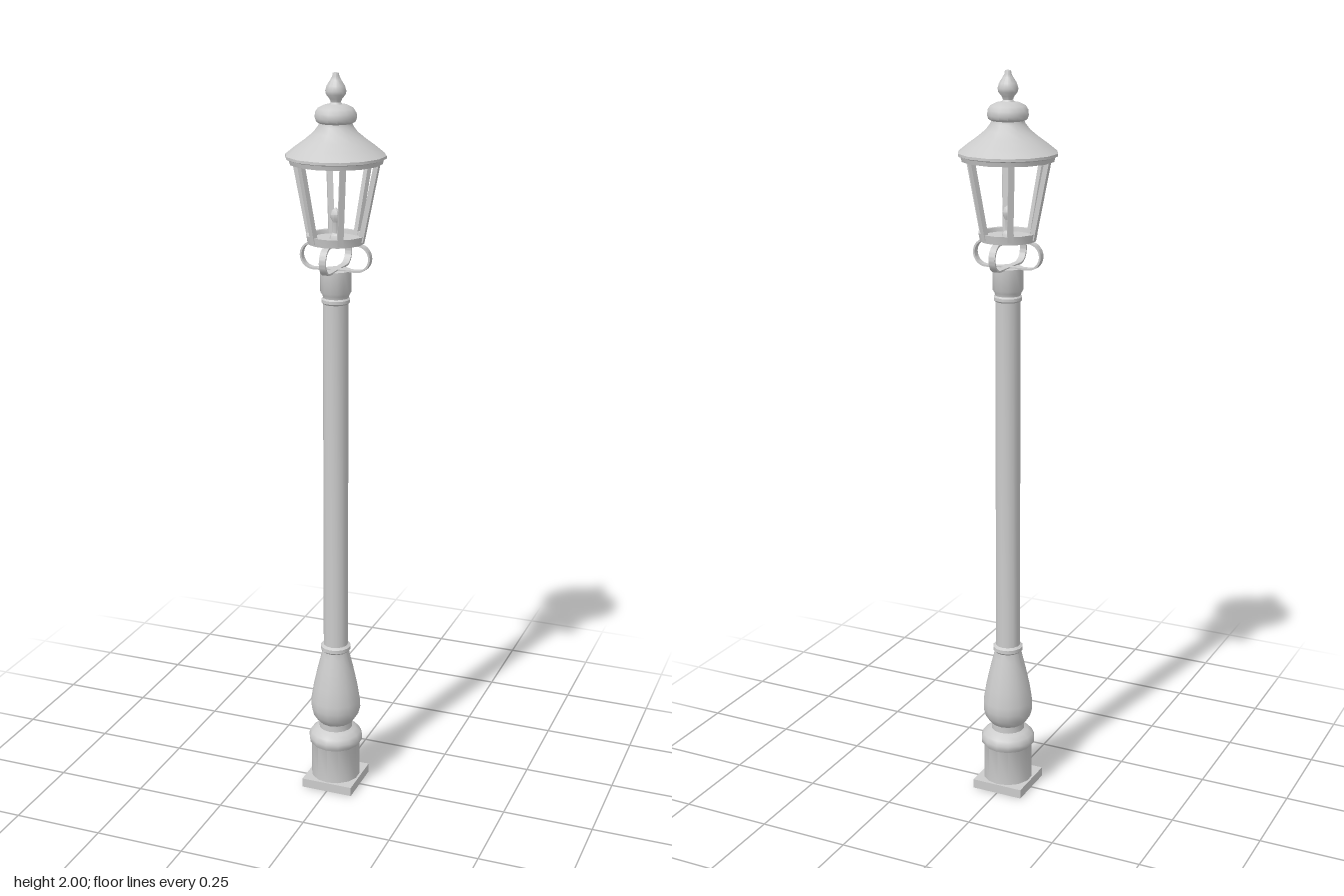
import * as THREE from 'three';
import { toCreasedNormals } from 'three/addons/utils/BufferGeometryUtils.js';

const grey = new THREE.MeshStandardMaterial({ color: 0xcccccc, side: THREE.DoubleSide });

export function createModel() {
  const model = new THREE.Group();

  const add = (name, geometry, parent = model) => {
    const mesh = new THREE.Mesh(geometry, grey);
    mesh.name = name;
    parent.add(mesh);
    return mesh;
  };

  // Turned part from [radius, height] pairs listed bottom to top
  const turned = (name, profile, sides = 14) => {
    const points = profile.map(([r, y]) => new THREE.Vector2(r, y));
    return add(name, toCreasedNormals(new THREE.LatheGeometry(points, sides), 0.7));
  };

  // Square foot plate
  add('footPlate', new THREE.BoxGeometry(0.147, 0.026, 0.147)).position.y = 0.013;

  // Drum, rounded shoulder and vase-shaped lower post
  turned('pedestal', [
    [0.069, 0.026], [0.069, 0.127], [0.075, 0.135], [0.076, 0.148], [0.07, 0.161],
    [0.057, 0.171], [0.047, 0.176], [0.047, 0.194], [0.053, 0.2], [0.064, 0.217],
    [0.07, 0.24], [0.069, 0.262], [0.062, 0.305], [0.051, 0.355], [0.041, 0.395],
    [0.037, 0.412], [0.042, 0.417], [0.042, 0.427], [0.034, 0.432],
  ]);

  // Long shaft
  turned('shaft', [[0.034, 0.425], [0.034, 1.415]]);

  // Collar at the top of the shaft
  turned('collar', [
    [0.034, 1.408], [0.038, 1.412], [0.038, 1.42], [0.034, 1.424], [0.036, 1.432],
    [0.041, 1.44], [0.041, 1.497], [0, 1.497],
  ]);

  // Four flat C-shaped straps carrying the lantern
  const strap = new THREE.Shape();
  strap.moveTo(0, 1.495);
  strap.lineTo(0.06, 1.495);
  strap.absarc(0.06, 1.532, 0.037, -Math.PI / 2, Math.PI / 2, false);
  strap.lineTo(0, 1.569);
  strap.lineTo(0, 1.564);
  strap.lineTo(0.06, 1.564);
  strap.absarc(0.06, 1.532, 0.032, Math.PI / 2, -Math.PI / 2, true);
  strap.lineTo(0, 1.5);
  const strapGeometry = new THREE.ExtrudeGeometry(strap, {
    depth: 0.018, bevelEnabled: false, curveSegments: 10,
  });
  strapGeometry.translate(0, 0, -0.009);
  const straps = new THREE.Group();
  straps.name = 'lanternStraps';
  model.add(straps);
  for (let i = 0; i < 4; i++) {
    add('strap', toCreasedNormals(strapGeometry, 0.6), straps).rotation.y = i * Math.PI / 2;
  }

  // Lantern floor with a raised rim
  turned('lanternFloor', [
    [0, 1.568], [0.074, 1.568], [0.078, 1.59], [0.069, 1.59], [0.067, 1.579], [0, 1.579],
  ]);

  // Six leaning glazing bars
  const bars = new THREE.Group();
  bars.name = 'glazingBars';
  model.add(bars);
  const bottom = new THREE.Vector3(0.07, 1.575, 0);
  const top = new THREE.Vector3(0.114, 1.79, 0);
  const lean = Math.atan2(top.x - bottom.x, top.y - bottom.y);
  for (let i = 0; i < 6; i++) {
    const pivot = new THREE.Group();
    pivot.rotation.y = i * Math.PI / 3;
    const bar = add('bar', new THREE.BoxGeometry(0.013, bottom.distanceTo(top), 0.015), pivot);
    bar.position.lerpVectors(bottom, top, 0.5);
    bar.rotation.z = -lean;
    bars.add(pivot);
  }

  // Burner inside the lantern
  turned('burner', [
    [0.016, 1.579], [0.014, 1.588], [0.008, 1.594], [0.008, 1.622], [0.013, 1.632],
    [0.014, 1.642], [0.01, 1.652], [0, 1.66],
  ], 10);

  // Frame ring under the eaves
  turned('eavesRing', [
    [0.107, 1.773], [0.12, 1.773], [0.124, 1.788], [0.11, 1.788], [0.107, 1.773],
  ]);

  // Flared roof with its vent cap
  turned('roof', [
    [0.122, 1.784], [0.13, 1.787], [0.13, 1.794], [0.105, 1.814], [0.08, 1.832],
    [0.058, 1.85], [0.045, 1.867], [0.043, 1.874], [0.051, 1.879], [0.054, 1.888],
    [0.053, 1.9], [0.046, 1.911], [0.03, 1.919], [0.012, 1.922],
  ]);

  // Finial
  turned('finial', [
    [0.018, 1.919], [0.013, 1.926], [0.016, 1.934], [0.025, 1.945], [0.027, 1.954],
    [0.023, 1.967], [0.014, 1.981], [0.009, 1.99], [0.008, 1.998], [0, 2],
  ]);

  return model;
}
